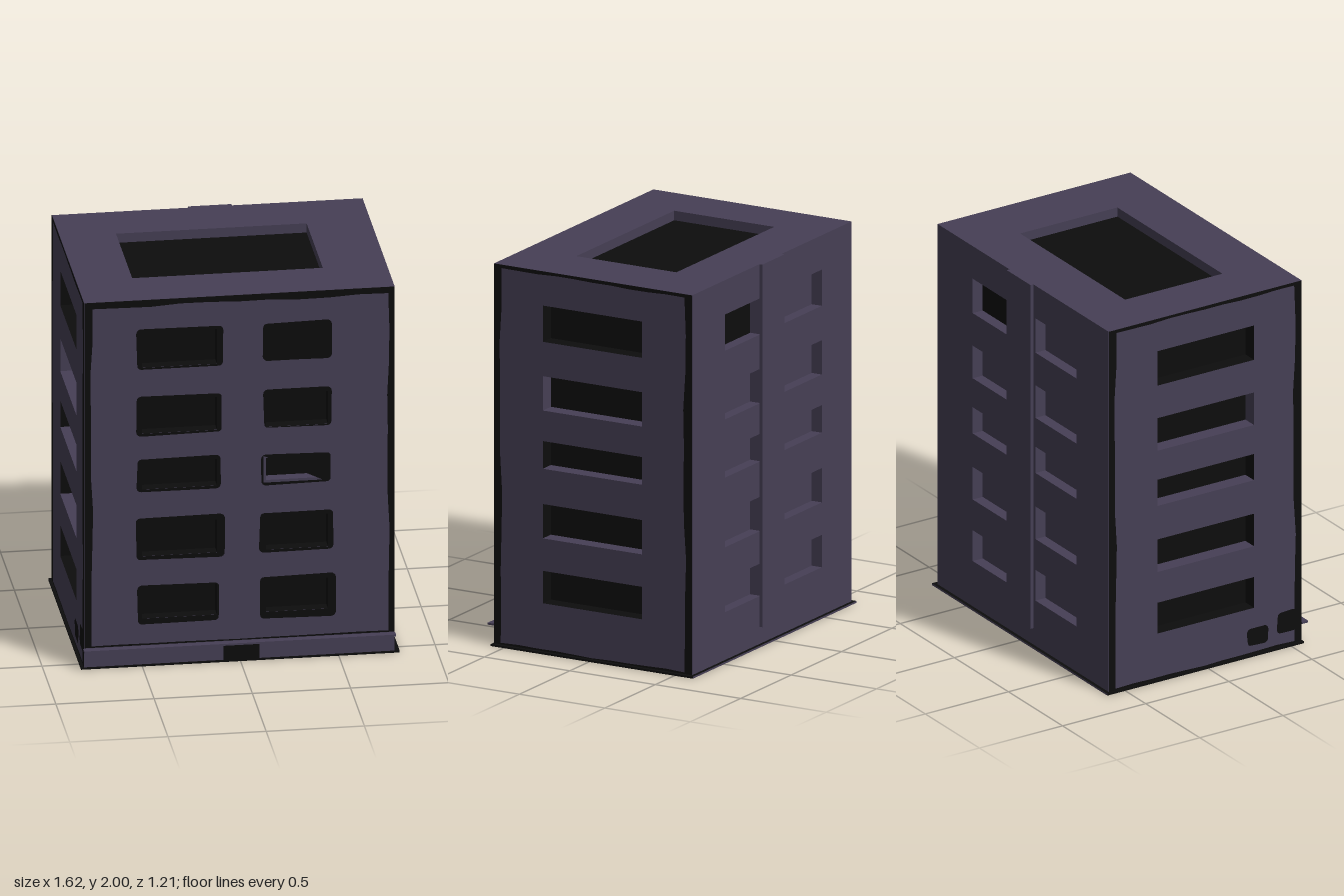
import * as THREE from 'three';

const wall = new THREE.MeshStandardMaterial({ color: 0x463f55 });
wall.name = 'wall purple grey';
const soot = new THREE.MeshStandardMaterial({ color: 0x0d0d0d });
soot.name = 'soot black';

// Body extents
const X0 = -0.795, X1 = 0.785, Z0 = -0.59, Z1 = 0.57, H = 2;
// Window rows as [bottom, top], highest first
const ROWS = [[1.63, 1.82], [1.27, 1.45], [0.965, 1.11], [0.6, 0.78], [0.26, 0.43]];

function mesh(name, geometry, material) {
  const m = new THREE.Mesh(geometry, material);
  m.name = name;
  return m;
}

const rectPoints = ([x0, x1, y0, y1]) =>
  [[x0, y0], [x1, y0], [x1, y1], [x0, y1]].map((p) => new THREE.Vector2(...p));

// Flat sheet with holes; outline and holes are point lists
function sheet(outline, holes = []) {
  const shape = new THREE.Shape(outline);
  shape.holes = holes.map((h) => new THREE.Path(h));
  return new THREE.ShapeGeometry(shape);
}

// Inside-out box without its front: the reveals and back panel of an opening
function recess(name, [x0, x1, y0, y1], depth, panel, reveal, sill = reveal) {
  const g = new THREE.BoxGeometry(x1 - x0, y1 - y0, depth);
  const index = g.index.array;
  for (let i = 0; i < index.length; i += 3) [index[i], index[i + 1]] = [index[i + 1], index[i]];
  const n = g.attributes.normal;
  for (let i = 0; i < n.count; i++) n.setXYZ(i, -n.getX(i), -n.getY(i), -n.getZ(i));
  g.clearGroups();
  [0, 1, 2, 3, 5].forEach((f) => g.addGroup(f * 6, 6, f));
  const m = mesh(name, g, [reveal, reveal, reveal, sill, wall, panel]);
  m.position.set((x0 + x1) / 2, (y0 + y1) / 2, -depth / 2);
  return m;
}

// Slightly uneven rounded outline for the scorch around a window
function scorchOutline([x0, x1, y0, y1], seed) {
  const r = 0.025, pts = [];
  const corners = [[x1 - r, y1 - r], [x0 + r, y1 - r], [x0 + r, y0 + r], [x1 - r, y0 + r]];
  corners.forEach(([cx, cy], c) => {
    for (let i = 0; i <= 4; i++) {
      const a = (c + i / 4) * Math.PI / 2;
      const k = r * (0.9 + 0.15 * Math.sin(seed * 2.3 + c * 1.9));
      pts.push(new THREE.Vector2(cx + k * Math.cos(a), cy + k * Math.sin(a)));
    }
  });
  return pts;
}

// Sooty border along the edges of a facade, with a wavering inner edge
function edgeSoot([x0, x1, y0, y1], [left, right, bottom, top]) {
  const inner = [];
  const wob = (t) => 1 + 0.15 * Math.sin(t * 9) + 0.1 * Math.sin(t * 23);
  const a = x0 + left, b = x1 - right, c = y0 + bottom, d = y1 - top, N = 10;
  for (let i = 0; i < N; i++) inner.push([a + (b - a) * i / N, y0 + bottom * wob(i / N)]);
  for (let i = 0; i < N; i++) inner.push([x1 - right * wob(i / N + 1), c + (d - c) * i / N]);
  for (let i = 0; i < N; i++) inner.push([b + (a - b) * i / N, y1 - top * wob(i / N + 2)]);
  for (let i = 0; i < N; i++) inner.push([x0 + left * wob(i / N + 3), d + (c - d) * i / N]);
  const m = mesh('edgeSoot', sheet(rectPoints([x0, x1, y0, y1]),
    [inner.map((p) => new THREE.Vector2(...p))]), soot);
  m.position.z = 0.002;
  return m;
}

// Facade in local x/y, facing local +z
function facade(name, bounds, openings) {
  const g = new THREE.Group();
  g.name = name;
  g.add(mesh(name + 'Wall', sheet(rectPoints(bounds), openings.map(rectPoints)), wall));
  return g;
}

function frontFacade() {
  // Scorch extents [x0, x1, y0, y1], left and right window of each row
  const scorch = [
    [-0.53, -0.085, 1.615, 1.84], [0.11, 0.465, 1.63, 1.84],
    [-0.53, -0.09, 1.255, 1.475], [0.115, 0.465, 1.26, 1.475],
    [-0.53, -0.10, 0.95, 1.135], [0.105, 0.465, 0.95, 1.12],
    [-0.535, -0.08, 0.575, 0.81], [0.095, 0.475, 0.585, 0.805],
    [-0.525, -0.105, 0.225, 0.44], [0.095, 0.485, 0.22, 0.455],
  ];
  const CLEAN = 5; // this window keeps a clean frame
  const openings = scorch.map((s, i) => {
    const [y0, y1] = ROWS[i >> 1];
    if (i === CLEAN) return [0.13, 0.445, 0.98, 1.1];
    return i % 2 ? [0.13, 0.445, y0, y1] : [-0.5, -0.12, y0, y1];
  });
  const g = facade('frontFacade', [X0, X1, 0, H], openings);
  openings.forEach((o, i) => {
    const clean = i === CLEAN;
    g.add(recess('frontWindow', o, 0.06, soot, clean ? wall : soot));
    const e = clean ? 0.013 : 0;
    const hole = rectPoints([o[0] - e, o[1] + e, o[2] - e, o[3] + e]);
    const ring = mesh('windowScorch', sheet(scorchOutline(scorch[i], i), [hole]), soot);
    ring.position.z = 0.002;
    g.add(ring);
  });
  g.add(edgeSoot([X0, X1, 0.115, H], [0.037, 0.033, 0.008, 0.035]));
  const door = mesh('door', new THREE.BoxGeometry(0.18, 0.09, 0.008), soot);
  door.position.set(0.005, 0.055, 0.002);
  g.add(door);
  g.position.z = Z1;
  return g;
}

function backFacade() {
  const openings = ROWS.flatMap(([y0, y1]) => [[-0.46, -0.11, y0, y1], [0.12, 0.5, y0, y1]]);
  const g = facade('backFacade', [-X1, -X0, 0, H], openings);
  openings.forEach((o, i) => g.add(recess('backWindow', o, 0.06, i === 0 ? soot : wall, wall)));
  g.rotation.y = Math.PI;
  g.position.z = Z0;
  return g;
}

// side = 1 for +x, -1 for -x
function sideFacade(side) {
  const flip = ([a, b]) => (side > 0 ? [-b, -a] : [a, b]);
  const name = side > 0 ? 'leftFacade' : 'rightFacade';
  const bounds = [...flip([Z0, Z1]), 0, H];
  const openings = ROWS.map((row) => [...flip([-0.295, 0.285]), ...row]);
  const g = facade(name, bounds, openings);
  openings.forEach((o, i) => {
    const reveal = i === 1 ? wall : soot;
    const sill = i > 0 && i < 4 ? wall : soot;
    g.add(recess('sideWindow', o, 0.08, soot, reveal, sill));
  });
  g.add(edgeSoot(bounds, [0.04, 0.045, 0.018, 0.018]));
  if (side < 0) {
    // Soot blotches near the ground
    [[0.24, 0.37, 0.05, 0.15], [0.42, 0.54, 0.08, 0.2]].forEach((b, i) => {
      const m = mesh('sootBlotch', sheet(scorchOutline(b, i + 3)), soot);
      m.position.z = 0.002;
      g.add(m);
    });
  }
  g.rotation.y = side * Math.PI / 2;
  g.position.x = side > 0 ? X1 : X0;
  return g;
}

function roof() {
  const well = [-0.51, 0.46, -0.28, 0.305];
  const g = facade('roof', [X0, X1, -Z1, -Z0], [well]);
  g.add(recess('roofWell', well, 0.05, soot, wall));
  g.rotation.x = -Math.PI / 2;
  g.position.y = H;
  return g;
}

function block(name, x0, x1, y0, y1, z0, z1, material) {
  const m = mesh(name, new THREE.BoxGeometry(x1 - x0, y1 - y0, z1 - z0), material);
  m.position.set((x0 + x1) / 2, (y0 + y1) / 2, (z0 + z1) / 2);
  return m;
}

export function createModel() {
  const model = new THREE.Group();
  model.name = 'apartmentBlock';
  model.add(frontFacade(), backFacade(), sideFacade(1), sideFacade(-1), roof());
  // Thin ground slab, entrance canopy and the flat strip up the back
  model.add(block('groundSlab', -0.812, 0.81, 0, 0.01, -0.608, 0.575,
    [soot, soot, soot, wall, soot, wall]));
  model.add(block('canopy', -0.8, 0.787, 0.102, 0.112, Z1, 0.607, wall));
  model.add(block('backStrip', -0.1, 0.12, 0.1, H, -0.607, Z0, wall));
  return model;
}
